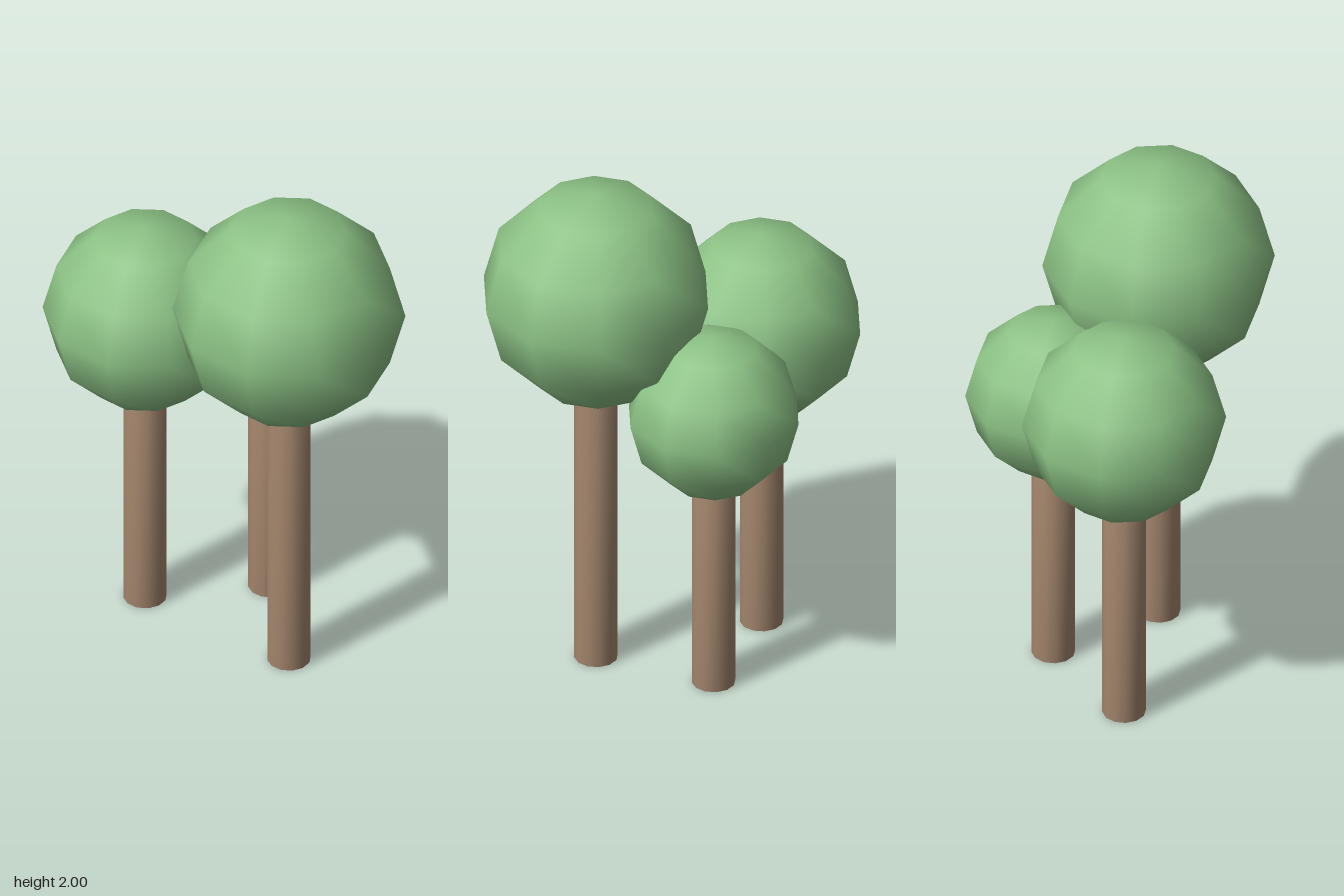
import * as THREE from 'three';
import { mergeVertices } from 'three/addons/utils/BufferGeometryUtils.js';

const TRUNK_RADIUS = 0.081;

// Low-poly ball with softly blended facets; corners point along z
function crownGeometry(radius) {
  return new THREE.SphereGeometry(radius, 10, 6).rotateY(Math.PI / 2);
}

// Post whose end caps share normals with its side
function trunkGeometry(height) {
  const g = new THREE.CylinderGeometry(TRUNK_RADIUS, TRUNK_RADIUS, height, 12);
  g.deleteAttribute('uv');
  g.deleteAttribute('normal');
  const welded = mergeVertices(g);
  welded.computeVertexNormals();
  return welded.translate(0, height / 2, 0);
}

export function createModel() {
  const group = new THREE.Group();
  group.name = 'treeCluster';
  const leaf = new THREE.MeshStandardMaterial({ color: 0x8cc285 });
  const bark = new THREE.MeshStandardMaterial({ color: 0xa5876e });

  const trees = [
    { name: 'tallTree', x: 0.292, z: 0.15, trunk: 1.18, crownY: 1.57, radius: 0.43 },
    { name: 'middleTree', x: -0.345, z: -0.027, trunk: 0.96, crownY: 1.297, radius: 0.378 },
    { name: 'shortTree', x: 0.06, z: -0.257, trunk: 0.82, crownY: 1.161, radius: 0.326 },
  ];

  for (const t of trees) {
    const tree = new THREE.Group();
    tree.name = t.name;
    tree.position.set(t.x, 0, t.z);

    const trunk = new THREE.Mesh(trunkGeometry(t.trunk), bark);
    trunk.name = 'trunk';

    const crown = new THREE.Mesh(crownGeometry(t.radius), leaf);
    crown.name = 'crown';
    crown.position.y = t.crownY;

    tree.add(trunk, crown);
    group.add(tree);
  }
  return group;
}
